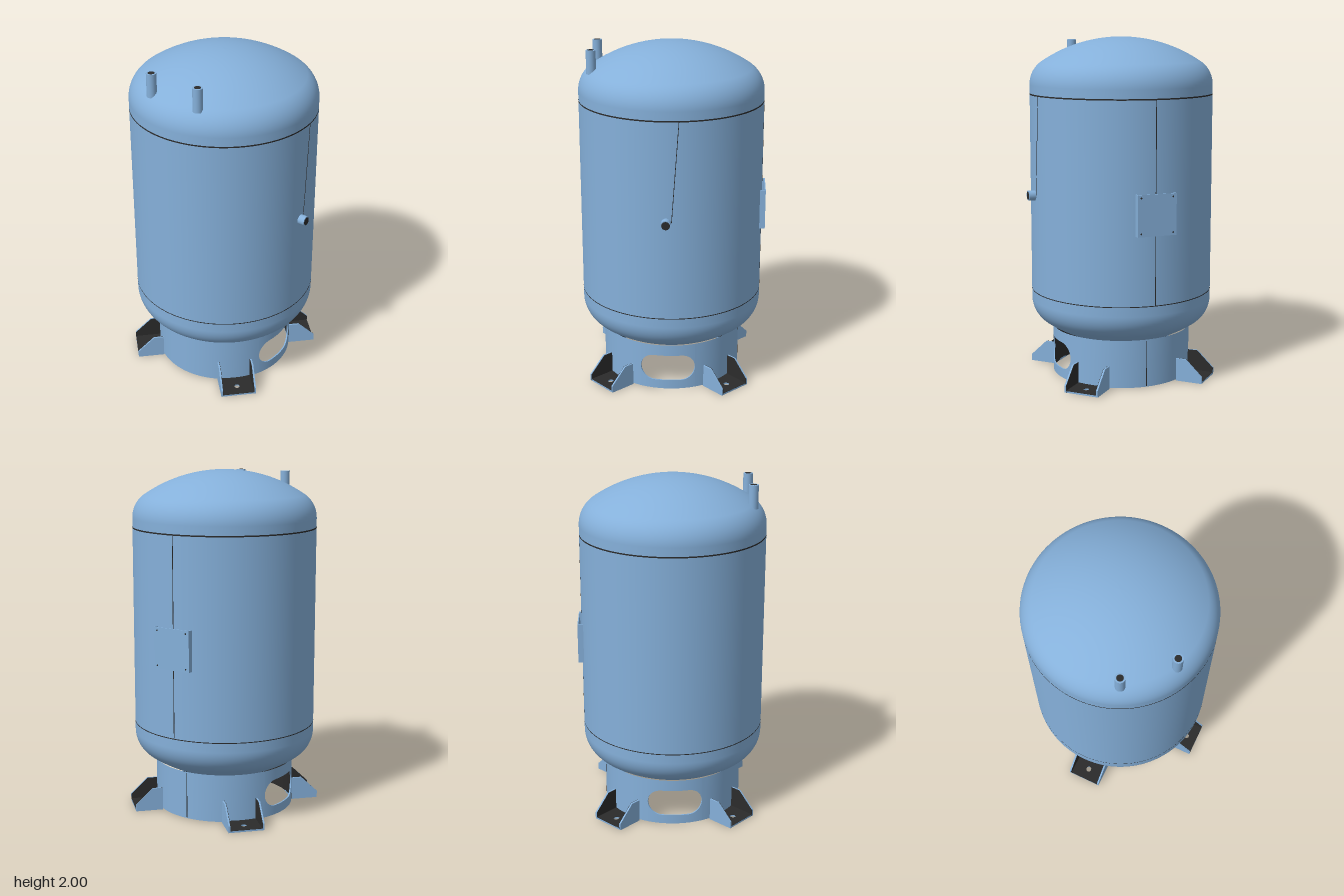
import * as THREE from 'three';
import { mergeGeometries } from 'three/addons/utils/BufferGeometryUtils.js';

const blue = new THREE.MeshStandardMaterial({ color: 0x85b0da });
blue.name = 'steel blue';
const dark = new THREE.MeshStandardMaterial({ color: 0x2b2b2b });
dark.name = 'dark inside';

const R = 0.535, SKIRT_R = 0.41, SKIRT_TOP = 0.287;

function add(parent, name, geometry, material, x = 0, y = 0, z = 0) {
  const mesh = new THREE.Mesh(geometry, material);
  mesh.name = name;
  mesh.position.set(x, y, z);
  parent.add(mesh);
  return mesh;
}

// Dished head: straight flange, tight knuckle, shallow crown
function headProfile() {
  const crown = 0.83, knuckle = 0.16, top = 2;
  const a = Math.asin((R - knuckle) / (crown - knuckle));
  const ky = top - crown + (crown - knuckle) * Math.cos(a);
  const pts = [new THREE.Vector2(R, 1.675)];
  for (let i = 0; i <= 12; i++) {
    const t = (i / 12) * (Math.PI / 2 - a);
    pts.push(new THREE.Vector2(R - knuckle + knuckle * Math.cos(t), ky + knuckle * Math.sin(t)));
  }
  for (let i = 1; i <= 14; i++) {
    const t = a * (1 - i / 14);
    pts.push(new THREE.Vector2(crown * Math.sin(t), top - crown + crown * Math.cos(t)));
  }
  return pts;
}

// Ribbon of quads between two rows of points
function ribbon(rowA, rowB) {
  const pos = [], index = [];
  rowA.forEach((p, i) => {
    pos.push(...p, ...rowB[i]);
    if (i) {
      const k = 2 * i;
      index.push(k - 2, k, k + 1, k - 2, k + 1, k - 1);
    }
  });
  const g = new THREE.BufferGeometry();
  g.setAttribute('position', new THREE.Float32BufferAttribute(pos, 3));
  g.setIndex(index);
  g.computeVertexNormals();
  return g;
}

// Support skirt: thin ring wall with a slotted opening on each side
function addSkirt(tank) {
  const inner = SKIRT_R - 0.008, mid = 0.14, h = 0.08;
  const outside = [], inside = [];
  const row = (cols, r, key) => cols.map(c => [r * Math.sin(c.a), c[key], r * Math.cos(c.a)]);
  const wall = (cols, lo, hi) => {
    outside.push(ribbon(row(cols, SKIRT_R, lo), row(cols, SKIRT_R, hi)));
    inside.push(ribbon(row(cols, inner, hi), row(cols, inner, lo)));
  };
  const edge = Math.asin(2 * h / SKIRT_R);
  for (const side of [Math.PI / 2, Math.PI * 1.5]) {
    const solid = [], slot = [];
    for (let i = 0; i <= 36; i++) {
      const a = side + edge + (Math.PI - 2 * edge) * i / 36;
      solid.push({ a, bottom: 0.005, top: SKIRT_TOP });
    }
    for (let i = 0; i <= 40; i++) {
      const z = -2 * h * Math.cos(Math.PI * i / 40);
      const over = Math.max(0, Math.abs(z) - h);
      const half = Math.sqrt(Math.max(0, h * h - over * over));
      slot.push({ a: side + Math.asin(z / SKIRT_R), bottom: 0.005, lo: mid - half, hi: mid + half, top: SKIRT_TOP });
    }
    wall(solid, 'bottom', 'top');
    wall(slot, 'bottom', 'lo');
    wall(slot, 'hi', 'top');
    // Rims of the slot and the lower edge
    outside.push(ribbon(row(slot, SKIRT_R, 'lo'), row(slot, inner, 'lo')));
    outside.push(ribbon(row(slot, inner, 'hi'), row(slot, SKIRT_R, 'hi')));
    for (const cols of [solid, slot])
      outside.push(ribbon(row(cols, inner, 'bottom'), row(cols, SKIRT_R, 'bottom')));
  }
  add(tank, 'skirtOutside', mergeGeometries(outside), blue);
  add(tank, 'skirtInside', mergeGeometries(inside), dark);
}

const extrude = (shape, depth) =>
  new THREE.ExtrudeGeometry(shape, { depth, bevelEnabled: false, curveSegments: 16 });

// Foot: open channel with a drilled base and two sloped cheeks, pointing along +x
function makeFoot() {
  const foot = new THREE.Group();
  foot.name = 'foot';
  const w = 0.105, t = 0.01, r0 = 0.4, r1 = 0.56;
  const cheek = new THREE.Shape([[r0, 0], [r1, 0], [r1, 0.04], [0.46, 0.135], [r0, 0.135]]
    .map(p => new THREE.Vector2(...p)));
  const base = new THREE.Shape([[r0, -w], [r1, -w], [r1, w], [r0, w]].map(p => new THREE.Vector2(...p)));
  base.holes.push(new THREE.Path().absarc(0.49, 0, 0.018, 0, Math.PI * 2, true));
  for (const s of [-1, 1]) {
    add(foot, 'cheek', extrude(cheek, t), blue, 0, 0, s > 0 ? w - t : -w);
    add(foot, 'cheekInside', extrude(cheek, 0.002), dark, 0, 0, s > 0 ? w - t - 0.002 : -w + t);
  }
  const plate = extrude(base, t).rotateX(-Math.PI / 2);
  add(foot, 'basePlate', plate, blue);
  const lining = extrude(base, 0.002).rotateX(-Math.PI / 2).scale(1, 1, 0.9);
  add(foot, 'basePlateInside', lining, dark, 0, t, 0);
  return foot;
}

// Pipe stub with a dark bore, standing along +y from the origin
function makePipe(name, radius, length, bore) {
  const pipe = new THREE.Group();
  pipe.name = name;
  add(pipe, 'pipeWall', new THREE.CylinderGeometry(radius, radius, length, 28), blue, 0, length / 2, 0);
  add(pipe, 'pipeBore', new THREE.CircleGeometry(bore, 28).rotateX(-Math.PI / 2), dark, 0, length + 0.001, 0);
  return pipe;
}

export function createModel() {
  const model = new THREE.Group();
  const tank = new THREE.Group();
  tank.name = 'pressureTank';
  tank.position.set(-0.02, 0, 0.008);
  model.add(tank);

  // Vessel
  const head = headProfile();
  const bottom = head.map(p => new THREE.Vector2(p.x, 2.185 - p.y)).reverse();
  add(tank, 'topHead', new THREE.LatheGeometry(head, 96), blue);
  add(tank, 'bottomHead', new THREE.LatheGeometry(bottom, 96), blue);
  add(tank, 'shell', new THREE.CylinderGeometry(R, R, 1.165, 96, 1, true), blue, 0, 1.0925, 0);

  // Weld seams
  for (const [y, h] of [[1.672, 0.008], [0.517, 0.005]])
    add(tank, 'ringSeam', new THREE.CylinderGeometry(R + 0.001, R + 0.001, h, 96, 1, true), dark, 0, y, 0);
  add(tank, 'shellSeam', new THREE.BoxGeometry(0.004, 1.15, 0.004), dark, 0, 1.095, -R + 0.001);
  add(tank, 'skirtSeam', new THREE.BoxGeometry(0.004, 0.27, 0.004), dark, 0, 0.145, -SKIRT_R + 0.001);
  const scribe = [];
  for (let i = 0; i <= 8; i++) {
    const z = -0.03 - 0.04 * i / 8;
    scribe.push(new THREE.Vector3(Math.sqrt(R * R - z * z), 1.1 + 0.57 * i / 8, z));
  }
  add(tank, 'sideSeam', new THREE.TubeGeometry(new THREE.CatmullRomCurve3(scribe), 16, 0.002, 6), dark);

  // Skirt and feet
  addSkirt(tank);
  for (let i = 0; i < 4; i++) {
    const foot = makeFoot();
    foot.rotation.y = Math.PI / 4 + i * Math.PI / 2;
    tank.add(foot);
  }

  // Pipe connections
  for (const x of [-0.155, 0.155]) {
    const pipe = makePipe('topPipe', 0.028, 0.135, 0.019);
    pipe.position.set(x, 1.84, 0.442);
    tank.add(pipe);
  }
  const sidePipe = makePipe('sidePipe', 0.029, 0.055, 0.024);
  sidePipe.rotation.z = -Math.PI / 2;
  sidePipe.position.set(0.52, 1.095, 0);
  tank.add(sidePipe);
  const drain = makePipe('drainPipe', 0.027, 0.06, 0.018);
  drain.rotation.x = Math.PI;
  drain.position.y = 0.205;
  tank.add(drain);

  // Name plate bracket on the back
  const plate = new THREE.Group();
  plate.name = 'plateBracket';
  plate.position.set(0, 1.037, -0.552);
  tank.add(plate);
  add(plate, 'plateFace', new THREE.BoxGeometry(0.232, 0.235, 0.006), blue);
  for (const sx of [-1, 1]) {
    add(plate, 'plateFlange', new THREE.BoxGeometry(0.006, 0.235, 0.034), blue, sx * 0.113, 0, 0.014);
    for (const sy of [-1, 1])
      add(plate, 'plateHole', new THREE.CircleGeometry(0.005, 12).rotateY(Math.PI), dark, sx * 0.095, sy * 0.1, -0.004);
  }
  return model;
}
